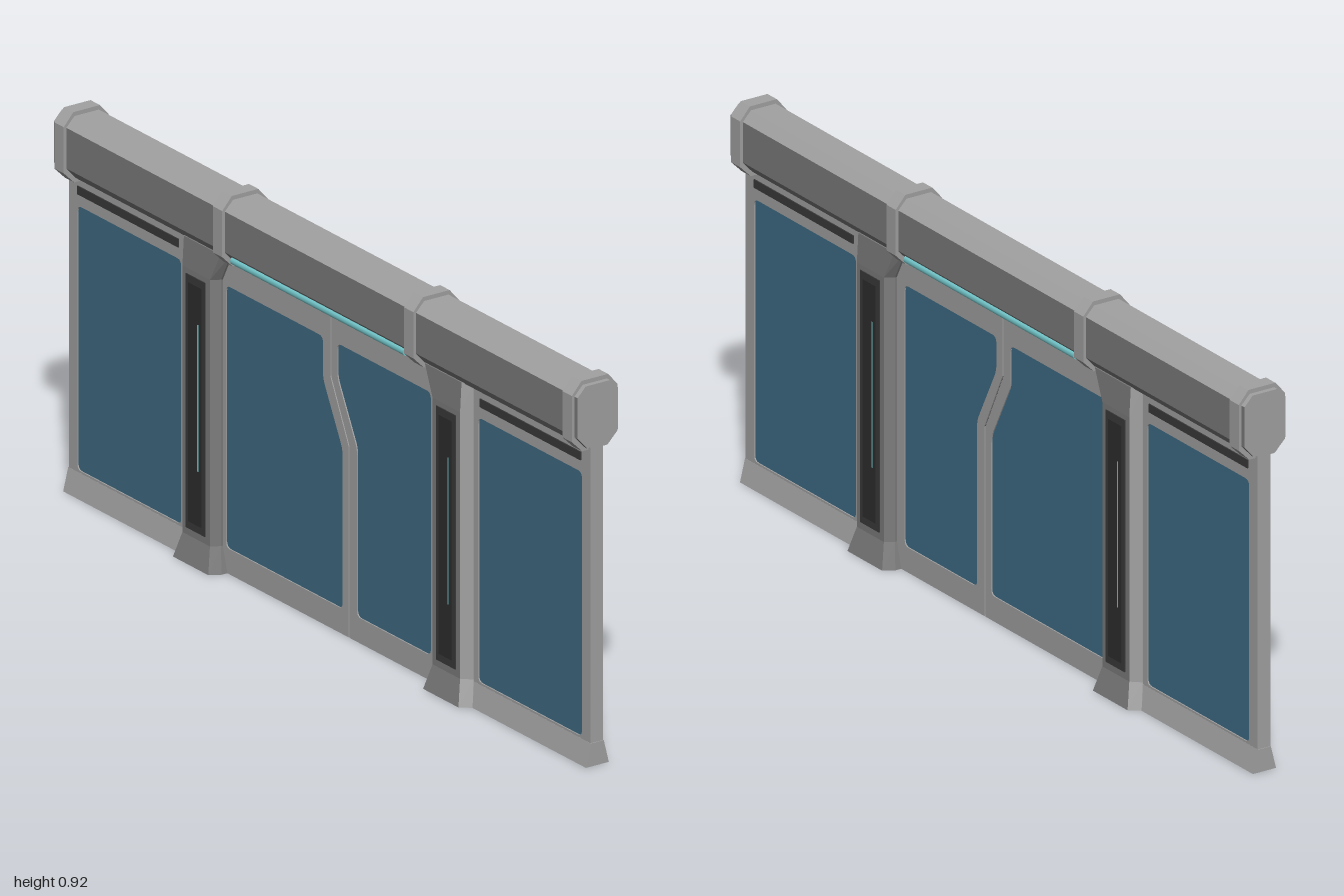
import * as THREE from 'three';

const mat = (name, color, side = THREE.FrontSide) => {
  const m = new THREE.MeshStandardMaterial({ color, side });
  m.name = name;
  return m;
};

// Joins a list of rings (arrays of Vector3) into a closed solid; edgeMats gives a material index per ring edge.
function loft(rings, edgeMats, capMat = 0) {
  const lists = [[], []];
  const n = rings[0].length;
  const tri = (m, ...p) => p.forEach(v => lists[m].push(v.x, v.y, v.z));
  for (let i = 0; i < rings.length - 1; i++)
    for (let k = 0; k < n; k++) {
      const a = rings[i][k], b = rings[i][(k + 1) % n];
      const c = rings[i + 1][(k + 1) % n], d = rings[i + 1][k];
      tri(edgeMats[k], a, b, c);
      tri(edgeMats[k], a, c, d);
    }
  const first = rings[0], last = rings[rings.length - 1];
  for (let k = 1; k < n - 1; k++) {
    tri(capMat, first[0], first[k + 1], first[k]);
    tri(capMat, last[0], last[k], last[k + 1]);
  }
  const g = new THREE.BufferGeometry();
  g.setAttribute('position', new THREE.Float32BufferAttribute([...lists[0], ...lists[1]], 3));
  g.addGroup(0, lists[0].length / 3, 0);
  g.addGroup(lists[0].length / 3, lists[1].length / 3, 1);
  g.computeVertexNormals();
  return g;
}

// Prism along x from a section of [y, z] points.
const prism = (section, x0, x1, edgeMats) =>
  loft([x0, x1].map(x => section.map(([y, z]) => new THREE.Vector3(x, y, z))), edgeMats);

// Eight-sided section, symmetric in z.
const octagon = (bottom, low, high, top, zBottom, zSide, zTop) => [
  [top, -zTop], [top, zTop], [high, zSide], [low, zSide],
  [bottom, zBottom], [bottom, -zBottom], [low, -zSide], [high, -zSide]];

// Traces a polygon with rounded corners.
function rounded(points, r, path) {
  const p = points.map(([x, y]) => new THREE.Vector2(x, y));
  p.forEach((c, i) => {
    const toward = q => c.clone().add(q.clone().sub(c).setLength(r));
    const a = toward(p[(i + p.length - 1) % p.length]);
    const b = toward(p[(i + 1) % p.length]);
    if (i === 0) path.moveTo(a.x, a.y); else path.lineTo(a.x, a.y);
    path.quadraticCurveTo(c.x, c.y, b.x, b.y);
  });
  path.closePath();
  return path;
}

// Extrudes a shape to a half thickness on both sides of z = 0.
function slab(shape, half) {
  const g = new THREE.ExtrudeGeometry(shape, { depth: half * 2, bevelEnabled: false, curveSegments: 4 });
  return g.translate(0, 0, -half);
}

export function createModel() {
  const root = new THREE.Group();
  root.name = 'slidingDoorWall';
  const light = mat('light grey metal', 0xa2a2a2);
  const mid = mat('mid grey metal', 0x7c7c7c);
  const dark = mat('dark grille', 0x3a3a3a);
  const black = mat('black inset', 0x2e2e2e);
  const glass = mat('blue glass', 0x3f6c85);
  const cyan = mat('cyan light', 0x74c8cc);

  const add = (parent, name, geometry, material) => {
    const m = new THREE.Mesh(geometry, material);
    m.name = name;
    parent.add(m);
    return m;
  };
  const box = (parent, name, material, w, h, d, x, y, z) =>
    add(parent, name, new THREE.BoxGeometry(w, h, d).translate(x, y, z), material);

  // Frame with a rounded opening, and the pane filling it
  const framedPane = (parent, name, outline, opening, half) => {
    const shape = new THREE.Shape(outline.map(([x, y]) => new THREE.Vector2(x, y)));
    shape.holes.push(rounded(opening, 0.015, new THREE.Path()));
    add(parent, name + 'Frame', slab(shape, half), light);
    add(parent, name + 'Glass', slab(rounded(opening, 0.015, new THREE.Shape()), half - 0.003), glass);
  };

  // Overhead housing with its collars
  add(root, 'housing', prism(octagon(0.762, 0.79, 0.887, 0.91, 0.03, 0.055, 0.033), -1, 1,
    [0, 0, 1, 1, 1, 1, 1, 0]), [light, mid]);
  for (const x of [-0.97, -0.365, 0.365, 0.97])
    add(root, 'collar', prism(octagon(0.752, 0.78, 0.89, 0.92, 0.034, 0.062, 0.036), x - 0.018, x + 0.018,
      [0, 0, 0, 0, 0, 0, 0, 0]), [light, mid]);

  // Light tubes under the housing
  for (const s of [-1, 1])
    add(root, 'lightTube', new THREE.CylinderGeometry(0.01, 0.01, 0.66, 10)
      .rotateZ(Math.PI / 2).translate(0, 0.774, s * 0.043), cyan);

  // Two interlocking doors and the seam between them
  const seam = [[0, 0.765], [0, 0.6], [0.07, 0.455], [0.07, 0]];
  const shifted = d => seam.map(([x, y]) => [x + d, y]);
  framedPane(root, 'rightDoor', [[-0.43, 0], ...shifted(-0.002).reverse(), [-0.43, 0.765]],
    [[-0.4, 0.06], [0.045, 0.06], [0.045, 0.44], [-0.03, 0.585], [-0.03, 0.685], [-0.4, 0.685]], 0.014);
  framedPane(root, 'leftDoor', [[0.43, 0], [0.43, 0.765], ...shifted(0.002)],
    [[0.1, 0.06], [0.382, 0.06], [0.382, 0.687], [0.025, 0.687], [0.025, 0.605], [0.1, 0.46]], 0.014);
  const seamShape = new THREE.Shape([...shifted(-0.002), ...shifted(0.002).reverse()]
    .map(([x, y]) => new THREE.Vector2(x, y)));
  add(root, 'doorSeam', slab(seamShape, 0.011), dark);

  // Pillar levels: y, inner edge, inner face edge, outer face edge, outer edge, edge depth, face depth
  const levels = [
    [0, 0.395, 0.41, 0.545, 0.565, 0.03, 0.055],
    [0.06, 0.412, 0.425, 0.53, 0.55, 0.019, 0.04],
    [0.695, 0.412, 0.425, 0.53, 0.55, 0.019, 0.04],
    [0.765, 0.375, 0.39, 0.53, 0.55, 0.019, 0.036]];
  const rings = levels.map(([y, xi, fi, fo, xo, ze, zf]) =>
    [[fi, zf], [fo, zf], [xo, ze], [xo, -ze], [fo, -zf], [fi, -zf], [xi, -ze], [xi, ze]]
      .map(([x, z]) => new THREE.Vector3(x, y, z)));

  // Each half: pillar and fixed side panel; the other half is turned about y
  for (const side of ['left', 'right']) {
    const half = new THREE.Group();
    half.name = side + 'Side';
    if (side === 'right') half.rotation.y = Math.PI;
    root.add(half);

    add(half, 'pillar', loft(rings, [1, 0, 0, 0, 1, 1, 1, 1], 1), [light, mid]);
    framedPane(half, 'sidePanel', [[0.54, 0], [0.996, 0], [0.996, 0.765], [0.54, 0.765]],
      [[0.567, 0.06], [0.963, 0.06], [0.963, 0.69], [0.567, 0.69]], 0.017);
    add(half, 'skirt', prism([[0.055, -0.0172], [0.055, 0.0172], [0, 0.031], [0, -0.031]], 0.55, 0.998,
      [0, 0, 0, 0]), [light, mid]);

    for (const s of [-1, 1]) {
      box(half, 'ventSlot', dark, 0.385, 0.02, 0.004, 0.768, 0.728, s * 0.018);
      box(half, 'pillarInsetFrame', dark, 0.074, 0.605, 0.004, 0.478, 0.38, s * 0.0405);
      box(half, 'pillarInset', black, 0.05, 0.57, 0.004, 0.478, 0.38, s * 0.0415);
      box(half, 'pillarLight', cyan, 0.003, 0.35, 0.003, 0.478 + s * 0.012, 0.4, s * 0.0427);
    }
  }
  return root;
}
